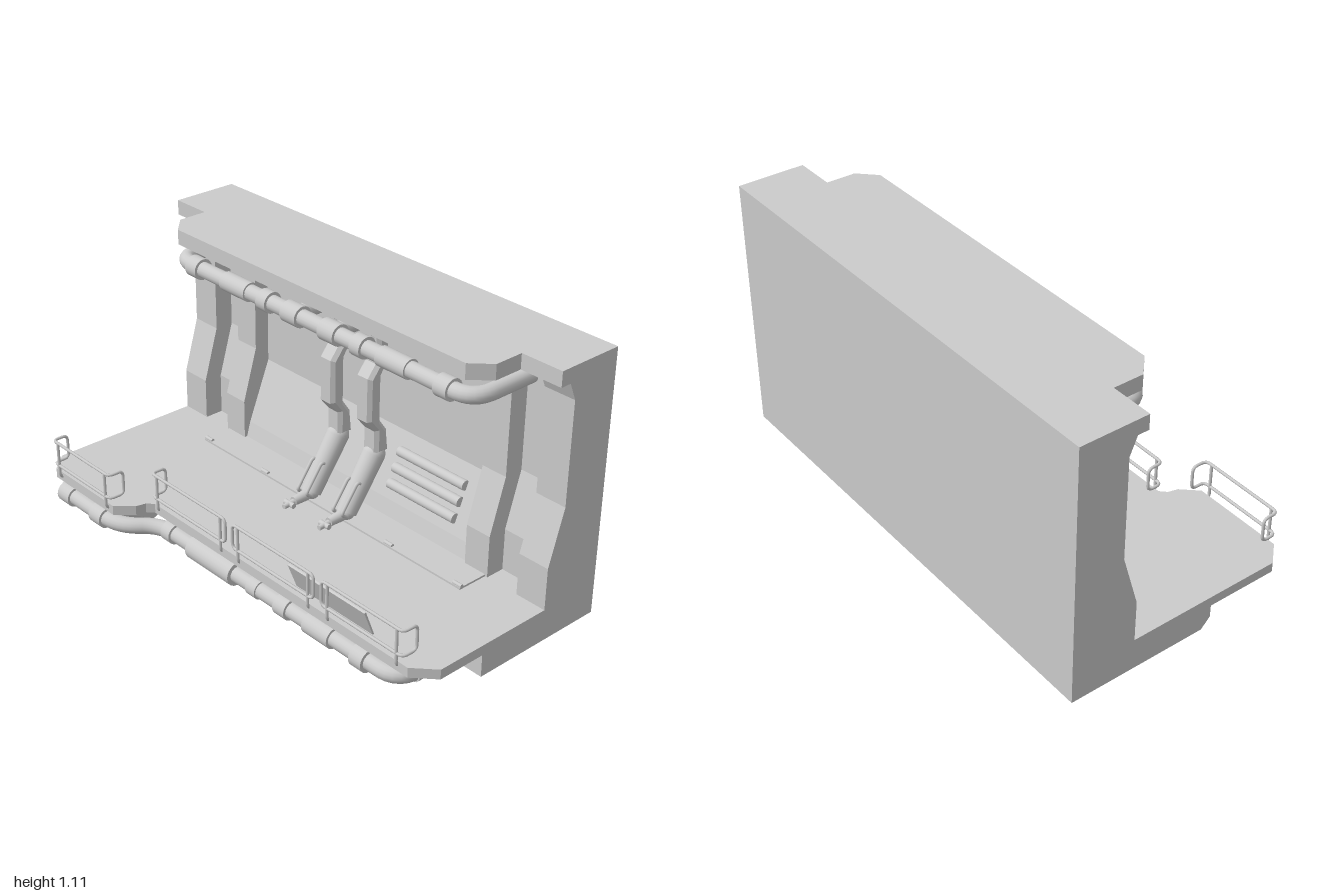
import * as THREE from 'three';

export function createModel() {
  const root = new THREE.Group();
  const mat = new THREE.MeshStandardMaterial({ color: 0xcccccc });
  const flat = new THREE.MeshStandardMaterial({ color: 0xcccccc, flatShading: true });
  const V = (x, y, z) => new THREE.Vector3(x, y, z);

  const add = (name, geo, m = mat, parent = root) => {
    const mesh = new THREE.Mesh(geo, m);
    mesh.name = name;
    parent.add(mesh);
    return mesh;
  };
  const shapeOf = (pts) => new THREE.Shape(pts.map(([x, y]) => new THREE.Vector2(x, y)));
  // side profile (x, y) swept from z0 to z1
  const sweepZ = (name, pts, z0, z1, bevel = 0) => {
    const g = new THREE.ExtrudeGeometry(shapeOf(pts), {
      depth: z1 - z0 - 2 * bevel, bevelEnabled: bevel > 0, bevelSize: bevel,
      bevelThickness: bevel, bevelOffset: -bevel, bevelSegments: 1,
    });
    g.translate(0, 0, z0 + bevel);
    return add(name, g, flat);
  };
  // plan outline (x, z) raised from y0 to y1
  const raise = (name, pts, y0, y1) => {
    const g = new THREE.ExtrudeGeometry(shapeOf(pts.map(([x, z]) => [x, -z])), { depth: y1 - y0, bevelEnabled: false });
    g.rotateX(-Math.PI / 2);
    g.translate(0, y0, 0);
    return add(name, g, flat);
  };
  const box = (name, x0, x1, y0, y1, z0, z1) => {
    const g = new THREE.BoxGeometry(x1 - x0, y1 - y0, z1 - z0);
    g.translate((x0 + x1) / 2, (y0 + y1) / 2, (z0 + z1) / 2);
    return add(name, g, flat);
  };
  // round bar between two points
  const rod = (name, a, b, r0, r1 = r0, sides = 20) => {
    const d = b.clone().sub(a);
    const m = add(name, new THREE.CylinderGeometry(r1, r0, d.length(), sides));
    m.position.copy(a).addScaledVector(d, 0.5);
    m.quaternion.setFromUnitVectors(V(0, 1, 0), d.normalize());
    return m;
  };
  // tube along straight runs with rounded corners
  const pipe = (name, pts, r, bend, sides = 16) => {
    const path = new THREE.CurvePath();
    let from = pts[0];
    for (let i = 1; i < pts.length; i++) {
      const p = pts[i];
      if (i === pts.length - 1) { path.add(new THREE.LineCurve3(from, p)); break; }
      const toward = (q) => p.clone().addScaledVector(q.clone().sub(p).normalize(), Math.min(bend, p.distanceTo(q) * 0.48));
      const a = toward(pts[i - 1]), b = toward(pts[i + 1]);
      path.add(new THREE.LineCurve3(from, a));
      path.add(new THREE.QuadraticBezierCurve3(a, p, b));
      from = b;
    }
    return add(name, new THREE.TubeGeometry(path, 110, r, sides), mat);
  };
  const ball = (name, x, y, z, r) => add(name, new THREE.SphereGeometry(r, 20, 14)).position.set(x, y, z);

  // floor and its base
  raise('deck', [[0.505, -1], [-0.4, -1], [-0.475, -0.93], [-0.475, -0.55], [-0.41, -0.49], [-0.37, -0.48],
    [-0.345, -0.455], [-0.345, 0.92], [-0.27, 1], [0.505, 1]], 0.14, 0.18);
  box('base', -0.07, 0.505, 0.05, 0.14, -1, 1);
  raise('baseBulge', [[-0.07, -1], [-0.14, -0.97], [-0.21, -0.9], [-0.21, -0.56], [-0.14, -0.5], [-0.07, -0.48]], 0.05, 0.14);

  // overhanging roof
  raise('roof', [[0.505, -1], [0.23, -1], [0.23, -0.83], [0.11, -0.83], [0.04, -0.755], [0.04, 0.755],
    [0.11, 0.825], [0.23, 0.825], [0.23, 1], [0.505, 1]], 1.05, 1.11);

  // wall: recessed back, slanted centre panel, columns
  box('backWall', 0.41, 0.505, 0.18, 1.05, -1, 1);
  sweepZ('centrePanel', [[0.42, 0.18], [0.25, 0.18], [0.27, 0.25], [0.37, 0.5], [0.37, 0.98], [0.34, 1.05], [0.42, 1.05]], -0.64, 0.64);
  const column = [[0.42, 0.18], [0.24, 0.18], [0.24, 0.35], [0.305, 0.57], [0.305, 0.98], [0.275, 1.05], [0.42, 1.05]];
  const niche = column.map(([x, y]) => [Math.min(x + 0.08, 0.42), y]);
  for (const s of [-1, 1]) {
    for (const [name, prof, a, b] of [['endColumn', column, 0.87, 1], ['niche', niche, 0.7, 0.89], ['innerColumn', column, 0.62, 0.73]])
      sweepZ(name, prof, Math.min(s * a, s * b), Math.max(s * a, s * b));
    box('roofBracket', 0.18, 0.28, 1.038, 1.05, s * 0.3 - 0.05, s * 0.3 + 0.05);
  }
  box('floorStrip', 0.11, 0.26, 0.18, 0.188, -0.72, 0.72);
  for (const z of [-0.7, -0.35, 0.35, 0.7]) rod('stripPin', V(0.12, 0.19, z - 0.02), V(0.12, 0.19, z + 0.02), 0.008, 0.008, 10);
  box('wallPlate', 0.362, 0.38, 0.76, 0.84, -0.42, -0.36);
  for (let i = 0; i < 3; i++) {
    const y = 0.31 + i * 0.06, x = 0.285 + i * 0.024;
    rod('wallTube', V(x, y, 0.18), V(x, y, 0.52), 0.02);
  }

  // overhead pipe
  const Y = 0.98;
  pipe('overheadPipe', [V(0.34, Y, -0.78), V(0.06, Y, -0.78), V(0.06, Y, 0.78), V(0.34, Y, 0.78)], 0.031, 0.09);
  for (const [z, w, r] of [[-0.66, 0.06, 0.042], [-0.42, 0.14, 0.038], [-0.25, 0.05, 0.042], [-0.1, 0.08, 0.042],
    [0.1, 0.08, 0.042], [0.25, 0.05, 0.042], [0.42, 0.14, 0.038], [0.66, 0.06, 0.042]])
    rod('overheadCollar', V(0.06, Y, z - w / 2), V(0.06, Y, z + w / 2), r);

  // twin wall ducts with slanted legs and nozzles
  for (const z of [-0.1, 0.1]) {
    pipe('ductFeed', [V(0.06, Y, z), V(0.275, Y, z), V(0.275, 0.88, z)], 0.03, 0.05);
    ball('ductElbow', 0.28, 0.94, z, 0.048);
    sweepZ('duct', [[0.25, 0.94], [0.25, 0.8], [0.21, 0.75], [0.21, 0.57], [0.25, 0.52], [0.25, 0.42], [0.32, 0.42],
      [0.31, 0.51], [0.275, 0.56], [0.275, 0.75], [0.31, 0.8], [0.31, 0.94]], z - 0.04, z + 0.04, 0.014);
    ball('legJoint', 0.275, 0.405, z, 0.045);
    rod('leg', V(0.275, 0.405, z), V(0.14, 0.205, z), 0.045, 0.04);
    ball('legFoot', 0.135, 0.205, z, 0.035);
    rod('nozzle', V(0.14, 0.2, z), V(0.05, 0.195, z), 0.024, 0.018);
    rod('nozzleTip', V(0.055, 0.193, z), V(0.0, 0.19, z), 0.012, 0.01);
    rod('nozzleCross', V(0.03, 0.192, z - 0.025), V(0.03, 0.192, z + 0.025), 0.011);
    for (const s of [-0.025, 0.025])
      pipe('legHandle', [V(0.2, 0.31, z + s), V(0.17, 0.33, z + s), V(0.09, 0.22, z + s), V(0.12, 0.2, z + s)], 0.007, 0.015, 8);
  }

  // pipe below the deck edge
  const P = 0.095;
  pipe('lowerPipe', [V(-0.12, P, -0.92), V(-0.465, P, -0.92), V(-0.465, P, -0.53), V(-0.335, P, -0.42),
    V(-0.335, P, 0.87), V(-0.05, P, 0.87)], 0.032, 0.09);
  for (const [x, z, w, r] of [[-0.465, -0.85, 0.07, 0.042], [-0.465, -0.64, 0.07, 0.042], [-0.335, -0.36, 0.05, 0.042],
    [-0.335, -0.1, 0.25, 0.048], [-0.335, 0.14, 0.05, 0.038], [-0.335, 0.3, 0.06, 0.042], [-0.335, 0.49, 0.13, 0.042], [-0.335, 0.7, 0.06, 0.045]])
    rod('lowerCollar', V(x, P, z - w / 2), V(x, P, z + w / 2), r);
  rod('endSleeve', V(-0.27, P, 0.87), V(-0.1, P, 0.87), 0.036);
  rod('endFlange', V(-0.11, P, 0.87), V(-0.07, P, 0.87), 0.036, 0.042);

  // hangers holding the lower pipe
  for (const [x, z] of [[-0.465, -0.64], [-0.335, 0.3], [-0.335, 0.7]]) {
    sweepZ('hanger', [[x, 0.055], [x + 0.1, 0.05], [x + 0.17, 0.02], [x + 0.27, 0.01], [x + 0.27, 0.06], [x + 0.2, 0.09], [x, 0.11]], z - 0.03, z + 0.03, 0.008);
    rod('hangerBarrel', V(x + 0.215, 0.045, z - 0.03), V(x + 0.215, 0.045, z + 0.03), 0.044);
    rod('hangerStub', V(x + 0.25, 0.035, z), V(x + 0.31, 0.035, z), 0.018, 0.014);
    rod('hangerTip', V(x + 0.305, 0.036, z - 0.02), V(x + 0.305, 0.036, z + 0.02), 0.01);
  }

  // railings: closed loops whose free ends turn inward
  const railing = (x, z0, z1, turnBack, turnFront) => {
    const top = 0.315, low = 0.215, d = 0.065, r = 0.006;
    const run = (y) => [...(turnBack ? [V(x + d, y, z0)] : []), V(x, y, z0), V(x, y, z1), ...(turnFront ? [V(x + d, y, z1)] : [])];
    const up = run(top), down = run(low).reverse();
    const start = up[0].clone().lerp(down[down.length - 1], 0.5);
    pipe('railing', [start, ...up, ...down, start.clone()], r, 0.022, 8);
    for (const z of [z0 + 0.03, z1 - 0.03])
      pipe('railPost', [V(x, top, z), V(x, 0.17, z), V(x + 0.02, 0.155, z)], r, 0.015, 8);
  };
  railing(-0.485, -0.92, -0.55, true, true);
  railing(-0.35, -0.46, -0.02, true, false);
  railing(-0.35, 0.02, 0.46, false, false);
  railing(-0.35, 0.5, 0.9, false, true);

  // board leaning on the railing
  sweepZ('leaningBoard', [[-0.345, 0.285], [-0.338, 0.288], [-0.297, 0.18], [-0.304, 0.18]], 0.32, 0.71);
  return root;
}
